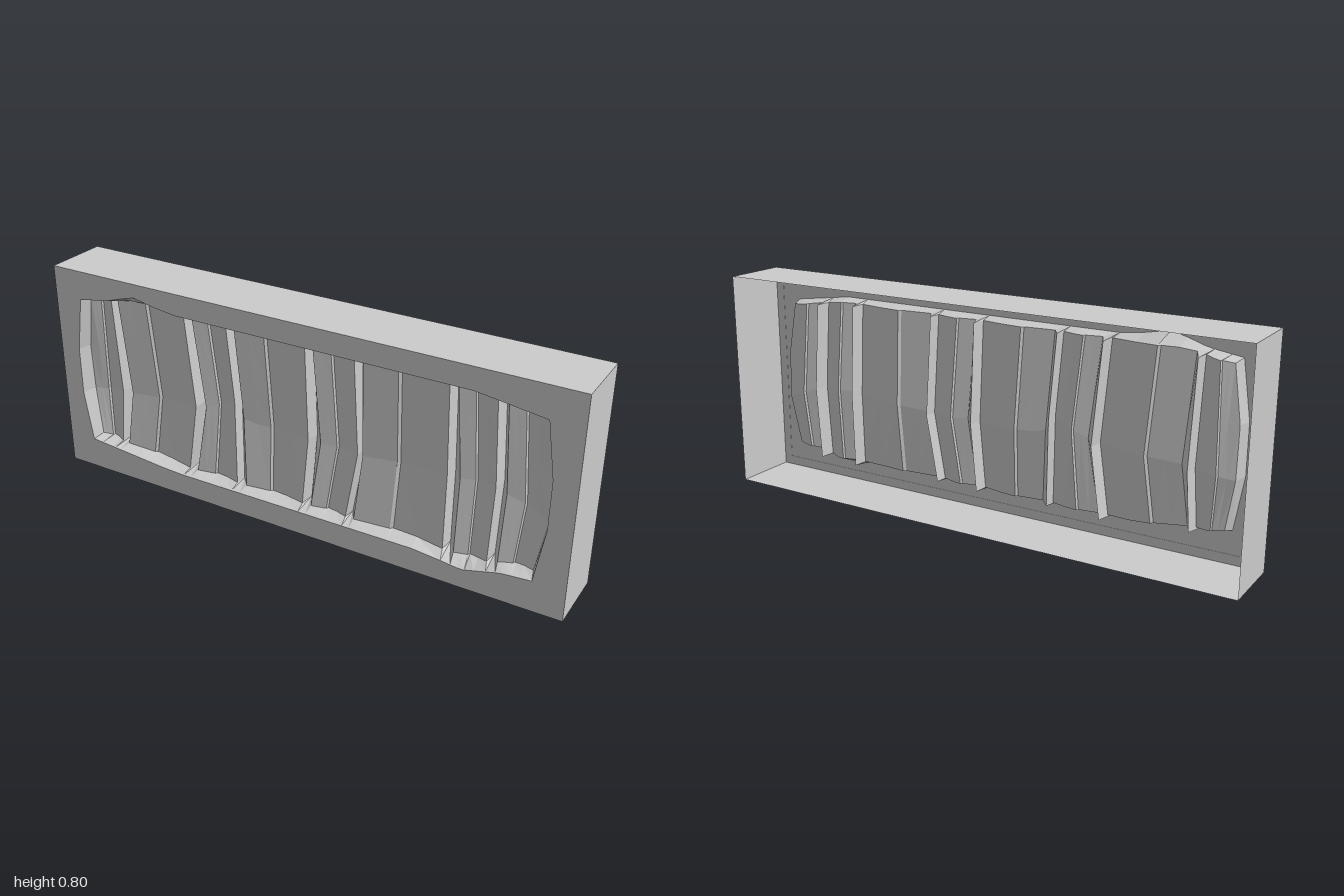
import * as THREE from 'three';

const material = new THREE.MeshStandardMaterial({ color: 0xcccccc, flatShading: true, side: THREE.DoubleSide });
const V = (x, y, z) => new THREE.Vector3(x, y, z);

// Piecewise linear lookup through [x, y] points
function lookup(points, x) {
  for (let i = 1; i < points.length; i++) {
    const [x0, y0] = points[i - 1], [x1, y1] = points[i];
    if (x <= x1 || i === points.length - 1) {
      return y0 + (y1 - y0) * THREE.MathUtils.clamp((x - x0) / (x1 - x0), 0, 1);
    }
  }
}

// Surface between neighbouring rows of points
function loft(rows, name) {
  const geometry = new THREE.BufferGeometry().setFromPoints(rows.flat());
  const n = rows[0].length, index = [];
  for (let r = 0; r < rows.length - 1; r++) {
    for (let c = 0; c < n - 1; c++) {
      const a = r * n + c;
      index.push(a, a + 1, a + n, a + 1, a + n + 1, a + n);
    }
  }
  geometry.setIndex(index);
  geometry.computeVertexNormals();
  return named(geometry, name);
}

function named(geometry, name) {
  const mesh = new THREE.Mesh(geometry, material);
  mesh.name = name;
  return mesh;
}

function rectangle(w, y0, y1) {
  return [[-w, y0], [w, y0], [w, y1], [-w, y1]].map(([x, y]) => new THREE.Vector2(x, y));
}

const H = 0.8, FRONT = 0.12;

// Upper and lower edges of the opening, and the crease across the sheet
const lowerEdge = [[-0.89, 0.12], [-0.5, 0.085], [0.48, 0.09], [0.64, 0.07], [0.77, 0.105], [0.89, 0.115]];
const upperEdge = [[-0.89, 0.69], [-0.76, 0.71], [-0.64, 0.75], [-0.49, 0.72], [0.64, 0.72], [0.89, 0.685]];
const creaseLine = [[-0.9, 0.31], [-0.75, 0.33], [-0.4, 0.355], [-0.265, 0.42], [-0.22, 0.35], [0.25, 0.35], [0.72, 0.38], [0.9, 0.31]];

// Grooves: left and right edge at bottom, crease and top, then depth
const grooves = [
  [-0.78, -0.75, -0.77, -0.725, -0.78, -0.75, 0.055],
  [-0.465, -0.43, -0.435, -0.39, -0.46, -0.425, 0.06],
  [-0.255, -0.215, -0.265, -0.228, -0.283, -0.25, 0.04],
  [0.02, 0.055, 0.035, 0.085, 0.03, 0.06, 0.055],
  [0.193, 0.225, 0.228, 0.247, 0.215, 0.247, 0.045],
  [0.56, 0.6, 0.555, 0.6, 0.55, 0.58, 0.055],
  [0.717, 0.754, 0.722, 0.76, 0.71, 0.745, 0.06],
];

// Columns of the sheet: x at the three heights plus depth
function makeColumns() {
  const columns = [];
  let start = [-0.875, -0.905, -0.875];
  // Each bay has a shallow step part way across: [position, z]
  const profile = [[0, 0.078], [0.2, 0.072], [0.4, 0.066], [0.43, 0.058], [0.7, 0.064], [1, 0.078]];
  const bay = (end) => {
    for (const [t, z] of profile) {
      columns.push({ x: start.map((s, k) => s + (end[k] - s) * t), z });
    }
  };
  for (const [b0, b1, m0, m1, t0, t1, depth] of grooves) {
    bay([b0, m0, t0]);
    // Steep left wall of the groove, the right wall slopes forward again
    columns.push({ x: [b0 + 0.005, m0 + 0.005, t0 + 0.005], z: 0.078 - depth });
    start = [b1, m1, t1];
  }
  bay([0.875, 0.905, 0.875]);
  return columns;
}

export function createModel() {
  const group = new THREE.Group();
  const columns = makeColumns();

  // Grooved sheet, slightly set back along its crease
  const bottom = columns.map(({ x, z }) => V(x[0], Math.max(lookup(lowerEdge, x[0]) + 0.012, 0.097), z));
  const crease = columns.map(({ x, z }) => V(x[1], lookup(creaseLine, x[1]), z - 0.014));
  const top = columns.map(({ x, z }) => V(x[2], Math.min(lookup(upperEdge, x[2]) - 0.01, 0.71), z));
  const shoulder = crease.map((p, i) => p.clone().lerp(top[i], (0.49 - p.y) / (top[i].y - p.y)));
  const last = columns.length - 1;
  shoulder[0].x = -0.905;
  shoulder[last].x = 0.905;
  group.add(loft([bottom, crease, shoulder, top], 'groovedSheet'));

  // Reveal joining the edge of the sheet to the opening
  const inner = [
    ...bottom, crease[last], shoulder[last],
    ...[...top].reverse(), shoulder[0], crease[0], bottom[0],
  ];
  const outer = inner.map((p, i) => {
    let y = p.y;
    if (i <= last || i === inner.length - 1) y = lookup(lowerEdge, p.x);
    else if (i > last + 2 && i <= 2 * last + 3) y = lookup(upperEdge, p.x);
    return V(p.x * 1.014, y, FRONT);
  });
  group.add(loft([outer, inner], 'openingReveal'));

  // Front panel cut to the opening
  const panel = new THREE.Shape(rectangle(1, 0, H));
  panel.holes.push(new THREE.Path(outer.slice(0, -1).map((p) => new THREE.Vector2(p.x, p.y))));
  const panelMesh = named(new THREE.ShapeGeometry(panel), 'frontPanel');
  panelMesh.position.z = FRONT;
  group.add(panelMesh);

  // Thin outer walls, open at the back
  const corners = rectangle(1, 0, H);
  corners.push(corners[0]);
  group.add(loft([-FRONT, FRONT].map((z) => corners.map((p) => V(p.x, p.y, z))), 'outerWalls'));

  // Shallow ledge around the inside of the front panel
  const ledge = new THREE.Shape(rectangle(0.998, 0.002, H - 0.002));
  ledge.holes.push(new THREE.Path(rectangle(0.965, 0.035, H - 0.035)));
  const ledgeMesh = named(new THREE.ExtrudeGeometry(ledge, { depth: 0.001, bevelEnabled: false }), 'innerLedge');
  ledgeMesh.position.z = FRONT - 0.002;
  group.add(ledgeMesh);

  return group;
}
